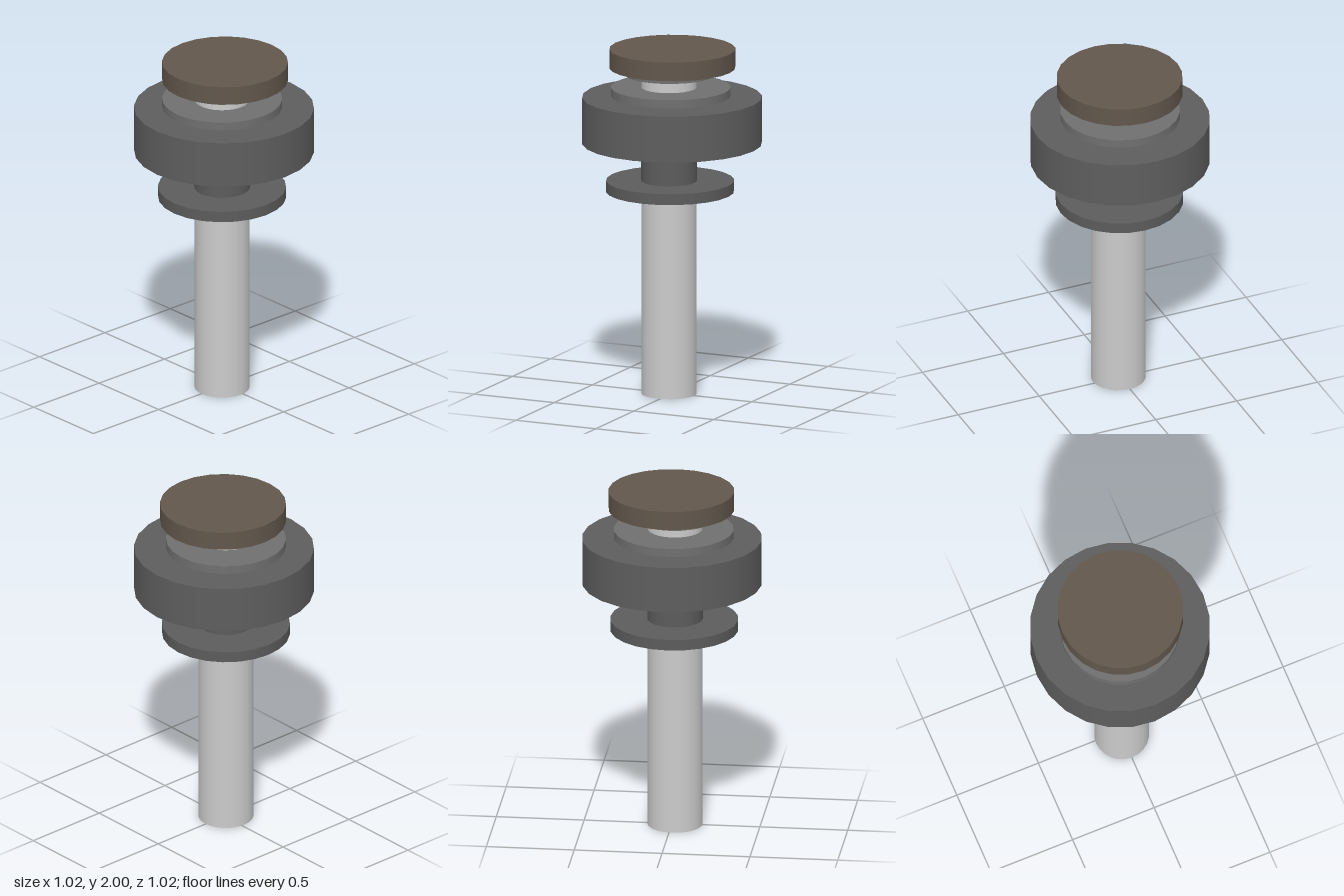
import * as THREE from 'three';

const SIDES = 24;

// Upright disc or rod between two heights, with its own centre
function addRound(group, name, { r, y0, y1, x = 0, z = 0, color = 0xcccccc }) {
  const mesh = new THREE.Mesh(
    new THREE.CylinderGeometry(r, r, y1 - y0, SIDES),
    new THREE.MeshStandardMaterial({ color })
  );
  mesh.name = name;
  mesh.position.set(x, (y0 + y1) / 2, z);
  group.add(mesh);
}

export function createModel() {
  const group = new THREE.Group();
  group.name = 'stackedPost';

  // Long light shaft running up through the whole stack
  addRound(group, 'shaft', { r: 0.156, y0: 0, y1: 1.9, x: 0.003, z: 0.017 });

  // Lower flange and the dark sleeve above it
  addRound(group, 'lowerFlange', { r: 0.363, y0: 1.172, y1: 1.235, x: -0.002, z: 0.013, color: 0x5c5c5c });
  addRound(group, 'sleeve', { r: 0.158, y0: 1.2, y1: 1.47, x: 0.003, z: 0.017, color: 0x5c5c5c });

  // Wide drum with the two washers over it
  addRound(group, 'drum', { r: 0.51, y0: 1.453, y1: 1.72, color: 0x5e5e5e });
  addRound(group, 'largeWasher', { r: 0.34, y0: 1.727, y1: 1.775, x: -0.005, z: 0.01, color: 0x707070 });
  addRound(group, 'smallWasher', { r: 0.258, y0: 1.852, y1: 1.885, x: 0.003, z: 0.012, color: 0x707070 });

  // Brown top cap
  addRound(group, 'cap', { r: 0.357, y0: 1.892, y1: 2, x: 0.004, z: -0.004, color: 0x62574c });

  return group;
}
